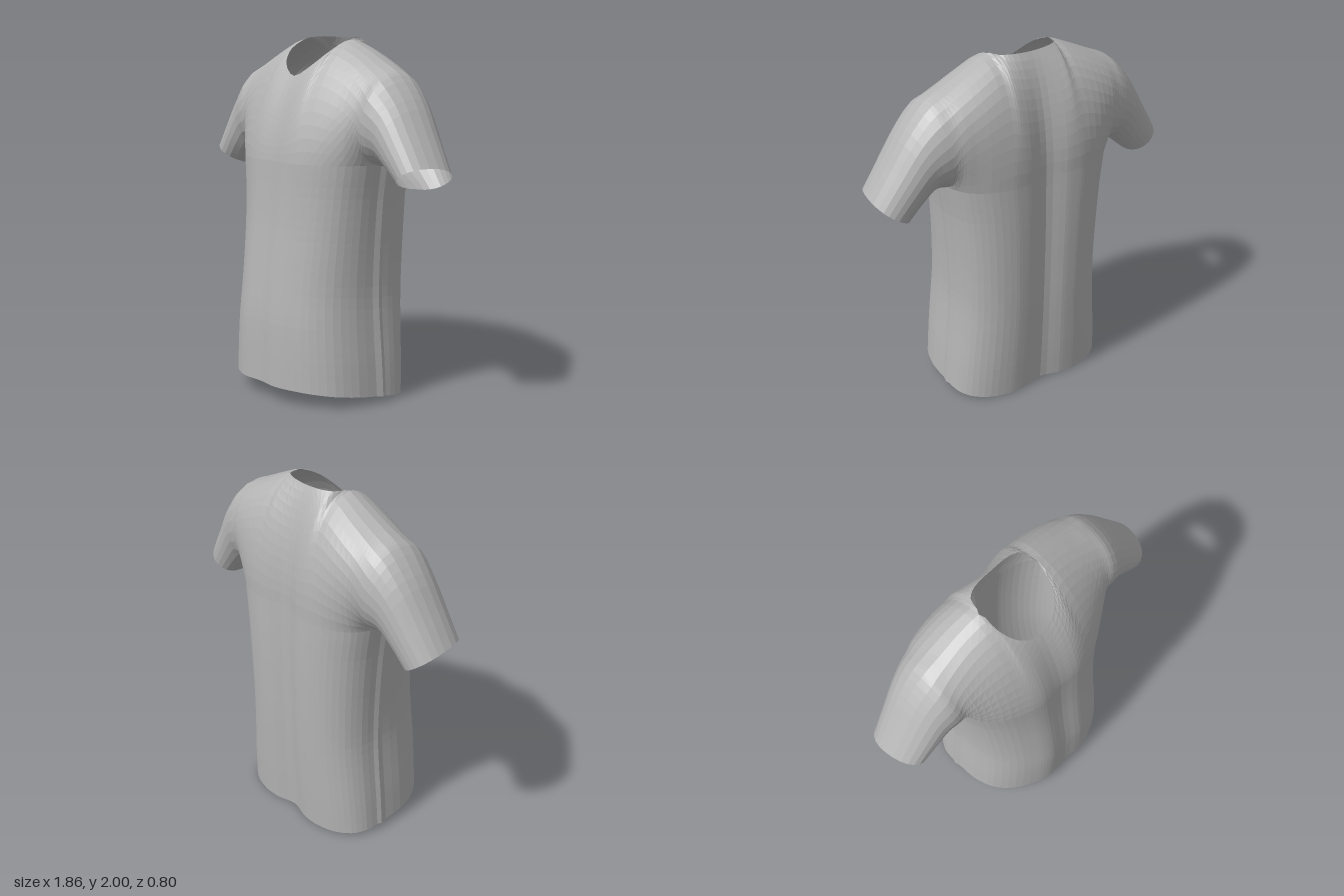
import * as THREE from 'three';

const V = (x, y, z) => new THREE.Vector3(x, y, z);

// Each key section runs from a foot on the chest line (or the sleeve underside)
// to the neck edge or shoulder ridge: [foot, control, control, top], from the centre outwards.
const frontKeys = [
  [[0, 1.33, .305], [0, 1.48, .29], [0, 1.66, .23], [0, 1.79, .15]],
  [[.12, 1.33, .315], [.12, 1.5, .3], [.12, 1.72, .23], [.12, 1.855, .115]],
  [[.18, 1.33, .308], [.175, 1.55, .29], [.18, 1.84, .18], [.182, 1.935, .03]],
  [[.24, 1.33, .29], [.23, 1.6, .275], [.21, 1.95, .12], [.205, 1.99, -.09]],
  [[.36, 1.33, .235], [.36, 1.58, .24], [.36, 1.91, .11], [.34, 1.935, -.1]],
  [[.455, 1.33, .15], [.46, 1.5, .2], [.49, 1.845, .14], [.47, 1.875, -.1]],
  [[.5, 1.33, .04], [.495, 1.42, .19], [.55, 1.815, .17], [.54, 1.845, -.1]],
];
const backKeys = [
  [[0, 1.33, -.36], [0, 1.6, -.365], [0, 1.85, -.305], [0, 1.995, -.215]],
  [[.12, 1.33, -.39], [.12, 1.62, -.4], [.12, 1.88, -.32], [.12, 2, -.207]],
  [[.18, 1.33, -.395], [.175, 1.635, -.408], [.172, 1.92, -.33], [.178, 2, -.175]],
  [[.24, 1.33, -.393], [.23, 1.65, -.41], [.21, 1.97, -.32], [.205, 1.99, -.09]],
  [[.36, 1.33, -.36], [.36, 1.6, -.395], [.36, 1.91, -.36], [.34, 1.935, -.1]],
  [[.455, 1.33, -.29], [.46, 1.52, -.365], [.49, 1.845, -.385], [.47, 1.875, -.1]],
  [[.5, 1.33, -.2], [.495, 1.42, -.36], [.55, 1.815, -.385], [.54, 1.845, -.1]],
];
// Closed sleeve rings from armpit to cuff: bottom, top, front z, back z, slant of the opening
const rings = [
  [[.515, 1.32, -.09], [.6, 1.81, -.1], .128, -.308, 0],
  [[.58, 1.33, -.09], [.71, 1.69, -.1], .113, -.283, 0],
  [[.65, 1.285, -.1], [.82, 1.52, -.09], .105, -.258, .012],
  [[.73, 1.215, -.12], [.93, 1.345, -.08], .098, -.233, .03],
];
for (const [b, t, zf, zb, slant] of rings) {
  for (const [keys, z, s] of [[frontKeys, zf, slant], [backKeys, zb, -slant]]) {
    const c = (z + .025) / .75;
    keys.push([b, [b[0] - s * .6, b[1] + s, c], [t[0] - s * .6, t[1] + s, c], t]);
  }
}
const NECK = 3, ARMPIT = 7, CUFF = 10;

// Four smooth curves running from cuff to cuff, mirrored about the centre
function cuffToCuff(keys) {
  return [0, 1, 2, 3].map((k) => {
    const half = keys.map((s) => V(...s[k]));
    const mirror = half.slice(1).reverse().map((p) => V(-p.x, p.y, p.z));
    return new THREE.CatmullRomCurve3([...mirror, ...half]);
  });
}
const front = cuffToCuff(frontKeys), back = cuffToCuff(backKeys);

// Section at u; front and back share the shoulder ridge and sleeve underside
function section(side, u) {
  const t = (u + CUFF) / (2 * CUFF);
  const p = side.map((c) => c.getPoint(t));
  const other = side === front ? back : front;
  if (Math.abs(u) >= NECK) p[3].add(other[3].getPoint(t)).multiplyScalar(.5);
  if (Math.abs(u) >= ARMPIT) p[0].add(other[0].getPoint(t)).multiplyScalar(.5);
  return p;
}

const upperPoint = (side, u, v) => new THREE.CubicBezierCurve3(...section(side, u)).getPoint(v);

// Body outline by height fraction, hem to chest: width, front depth, back depth
const bodyLevels = new THREE.CatmullRomCurve3([
  V(.972, 1.21, .89), V(.945, 1.21, .93), V(.91, 1.2, .96), V(.885, 1.16, .985),
  V(.89, 1.11, 1), V(.91, 1.06, 1.01), V(.942, 1.025, 1.01), V(1, 1, 1),
]);
const SIDE_Z = -.09;
function bodyPoint(side, u, v) {
  const foot = section(side, u)[0];
  const s = bodyLevels.getPoint(v);
  const depth = foot.z - SIDE_Z;
  const z = SIDE_Z + depth * (depth > 0 ? s.y : s.z);
  const hem = .045 + .123 * z; // hem rises towards the front
  return V(foot.x * s.x, hem + (foot.y - hem) * v, z);
}

// Grid of quads over u0..u1 and v 0..1
function panel(name, material, point, side, u0, u1, rows) {
  const cols = Math.round((u1 - u0) * 3), pos = [], index = [];
  for (let i = 0; i <= cols; i++) {
    for (let j = 0; j <= rows; j++) {
      pos.push(...point(side, u0 + (u1 - u0) * i / cols, j / rows).toArray());
    }
  }
  for (let i = 0; i < cols; i++) {
    for (let j = 0; j < rows; j++) {
      const a = i * (rows + 1) + j, b = a + rows + 1;
      if (side === front) index.push(a, b, b + 1, a, b + 1, a + 1);
      else index.push(a, b + 1, b, a, a + 1, b + 1);
    }
  }
  const g = new THREE.BufferGeometry();
  g.setAttribute('position', new THREE.Float32BufferAttribute(pos, 3));
  g.setIndex(index);
  g.computeVertexNormals();
  const mesh = new THREE.Mesh(g, material);
  mesh.name = name;
  return mesh;
}

export function createModel() {
  const shirt = new THREE.Group();
  shirt.name = 'shirt';
  const cloth = new THREE.MeshStandardMaterial({
    color: 0xb4b4b4, flatShading: true, side: THREE.DoubleSide,
  });
  cloth.name = 'greyCloth';
  for (const [label, side] of [['Front', front], ['Back', back]]) {
    shirt.add(
      panel('body' + label, cloth, bodyPoint, side, -ARMPIT, ARMPIT, 21),
      panel('yoke' + label, cloth, upperPoint, side, -ARMPIT, ARMPIT, 12),
      panel('leftSleeve' + label, cloth, upperPoint, side, ARMPIT, CUFF, 12),
      panel('rightSleeve' + label, cloth, upperPoint, side, -CUFF, -ARMPIT, 12),
    );
  }
  return shirt;
}
